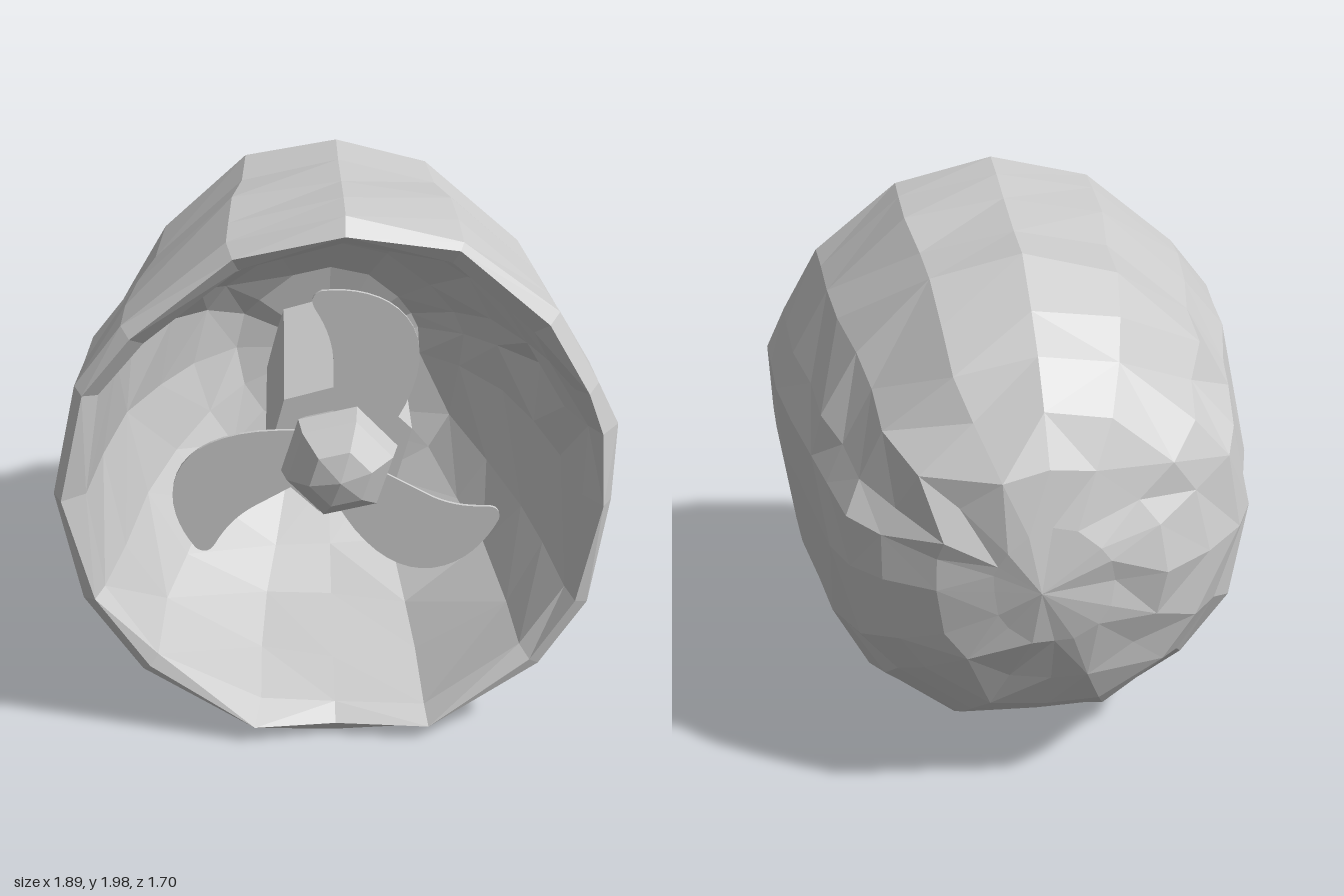
import * as THREE from 'three';

const grey = () => new THREE.MeshStandardMaterial({ color: 0xcccccc, flatShading: true, side: THREE.DoubleSide });

// Small seeded generator, returns -1..1
function seeded(seed) {
  let s = seed;
  return () => {
    s = (s * 16807) % 2147483647;
    return (s / 2147483647) * 2 - 1;
  };
}

// Rock outline, counter-clockwise, relative to the axis at y = 1
const outline = [
  [0.94, -0.03], [0.94, 0.25], [0.87, 0.41], [0.73, 0.66], [0.41, 0.92], [0.03, 1.0],
  [-0.35, 0.92], [-0.7, 0.63], [-0.86, 0.42], [-0.95, 0.02], [-0.87, -0.4], [-0.68, -0.7],
  [-0.3, -0.95], [0, -0.99], [0.35, -0.97], [0.72, -0.7], [0.88, -0.45]
];

// Cross-sections: z, x scale, y scale, roughness; outside from back to rim, then the cavity
const sections = [
  [-0.82, 0.22, 0.22, 0.01],
  [-0.76, 0.42, 0.42, 0.02],
  [-0.66, 0.6, 0.58, 0.02],
  [-0.52, 0.74, 0.72, 0.025],
  [-0.36, 0.8, 0.84, 0.025],
  [-0.17, 0.85, 0.94, 0.02],
  [0.08, 0.9, 0.96, 0.02],
  [0.36, 0.96, 0.975, 0.015],
  [0.6, 0.98, 0.985, 0.01],
  [0.77, 0.995, 0.99, 0.008],
  [0.82, 0.95, 0.95, 0.015],
  [0.76, 0.9, 0.89, 0.02],
  [0.5, 0.87, 0.85, 0.03],
  [0.22, 0.8, 0.79, 0.035],
  [-0.04, 0.69, 0.68, 0.035],
  [-0.26, 0.54, 0.52, 0.03],
  [-0.38, 0.38, 0.36, 0.02]
];

function rockGeometry() {
  const rnd = seeded(4711);
  const n = outline.length;
  const pos = [0.05, 1.0, -0.86];
  const index = [];
  for (const [z, sx, sy, rough] of sections) {
    for (const [x, y] of outline) {
      const k = 1 + rnd() * rough;
      pos.push(x * sx * k, 1 + y * sy * Math.min(k, 1.01), z + rnd() * rough * 1.6);
    }
  }
  const floor = pos.length / 3;
  pos.push(0, 1, -0.42);
  const at = (i, j) => 1 + i * n + (j % n);
  const last = sections.length - 1;
  for (let j = 0; j < n; j++) {
    index.push(0, at(0, j + 1), at(0, j));
    for (let i = 0; i < last; i++) {
      const a = at(i, j), b = at(i, j + 1), c = at(i + 1, j), d = at(i + 1, j + 1);
      // Alternate the diagonals for an irregular faceted look
      if (rnd() > 0) index.push(a, b, c, b, d, c);
      else index.push(a, b, d, a, d, c);
    }
    index.push(at(last, j), at(last, j + 1), floor);
  }
  const g = new THREE.BufferGeometry();
  g.setAttribute('position', new THREE.Float32BufferAttribute(pos, 3));
  g.setIndex(index);
  const flat = g.toNonIndexed();
  flat.computeVertexNormals();
  return flat;
}

// Flat curved blade, root at the hub axis, pointing up
function bladeGeometry() {
  const s = new THREE.Shape();
  s.moveTo(0.12, 0.0);
  s.lineTo(0.2, 0.14);
  s.bezierCurveTo(0.29, 0.3, 0.3, 0.44, 0.23, 0.53);
  s.bezierCurveTo(0.16, 0.62, 0.04, 0.64, -0.06, 0.63);
  s.quadraticCurveTo(-0.11, 0.61, -0.08, 0.56);
  s.quadraticCurveTo(-0.02, 0.46, -0.02, 0.36);
  s.lineTo(-0.02, 0.0);
  return new THREE.ExtrudeGeometry(s, { depth: 0.012, bevelEnabled: false, curveSegments: 8 });
}

export function createModel() {
  const model = new THREE.Group();
  const add = (parent, name, geometry) => {
    const mesh = new THREE.Mesh(geometry, grey());
    mesh.name = name;
    parent.add(mesh);
    return mesh;
  };

  add(model, 'hollowRock', rockGeometry());

  const propeller = new THREE.Group();
  propeller.name = 'propeller';
  propeller.position.set(0.02, 0.99, 0);
  model.add(propeller);

  // Hexagonal housing running back into the cavity floor
  const housing = new THREE.CylinderGeometry(0.27, 0.27, 0.83, 6);
  housing.rotateX(Math.PI / 2);
  housing.rotateZ(-0.26);
  add(propeller, 'housing', housing).position.z = 0.005;

  // Domed six-sided spinner
  const profile = [[0.17, 0.42], [0.21, 0.5], [0.19, 0.58], [0.11, 0.66], [0, 0.69]]
    .map(([r, z]) => new THREE.Vector2(r, z));
  const spinner = new THREE.LatheGeometry(profile, 6);
  spinner.rotateX(Math.PI / 2);
  spinner.rotateZ(-0.3);
  add(propeller, 'spinner', spinner);

  const blade = bladeGeometry();
  for (let i = 0; i < 3; i++) {
    const mesh = add(propeller, 'blade' + (i + 1), blade);
    mesh.position.z = 0.475;
    mesh.rotation.z = (i * Math.PI * 2) / 3;
  }
  return model;
}
